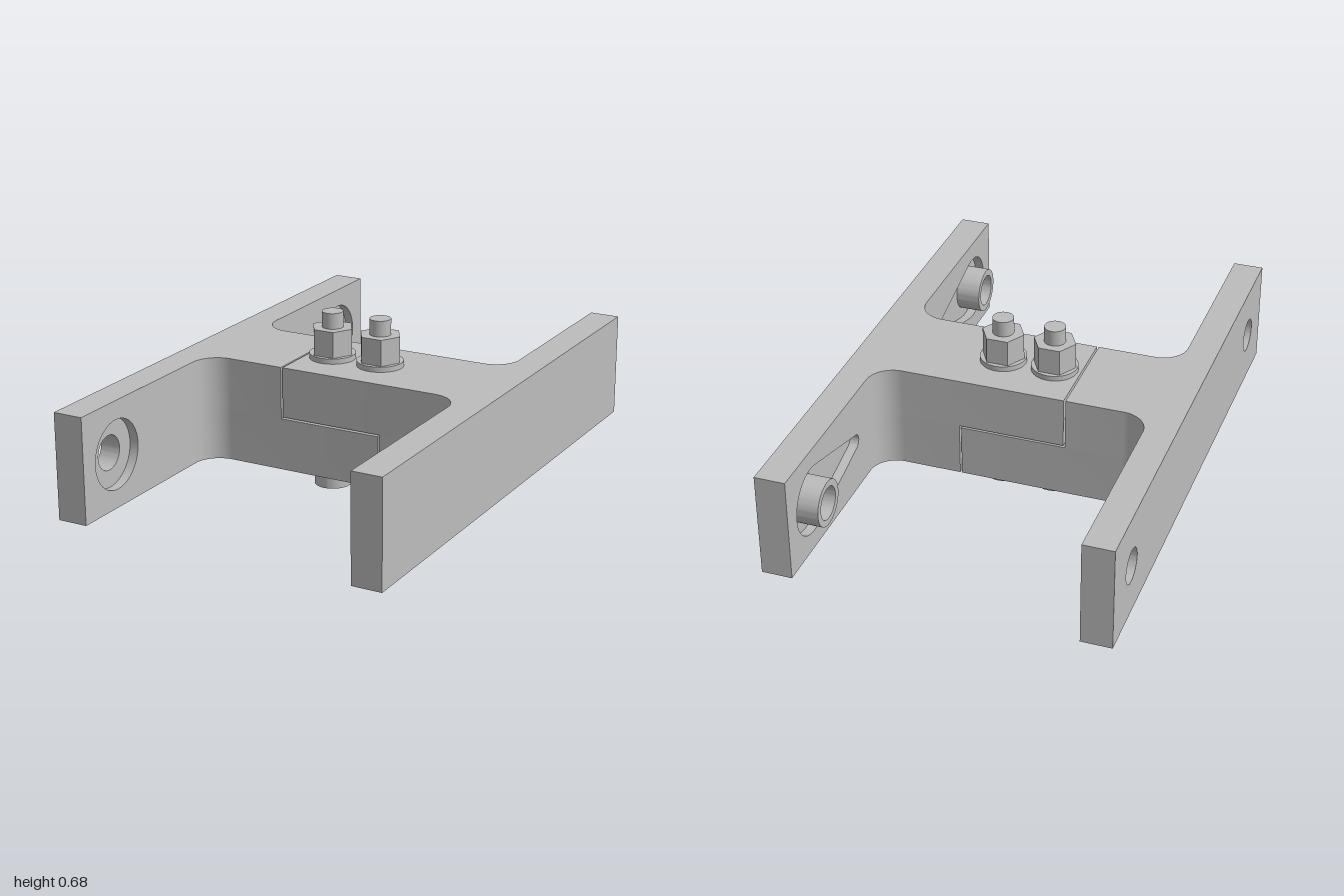
import * as THREE from 'three';
import { toCreasedNormals } from 'three/addons/utils/BufferGeometryUtils.js';

const steel = new THREE.MeshStandardMaterial({ color: 0xbcbcbc });
steel.name = 'steel grey';

const HALF_WIDTH = 0.64, INNER = 0.525, POCKET = 0.035, FILLET = 0.1;
const BOTTOM = 0.1, MIDDLE = 0.3, TOP = 0.5, GAP = 0.007, BOLT_Z = 0.8;

function add(parent, name, geometry, x = 0, y = 0, z = 0) {
  const mesh = new THREE.Mesh(geometry, steel);
  mesh.name = name;
  mesh.position.set(x, y, z);
  parent.add(mesh);
  return mesh;
}

function extrude(shape, depth) {
  const g = new THREE.ExtrudeGeometry(shape, { depth, bevelEnabled: false, curveSegments: 32 });
  return toCreasedNormals(g, 0.6);
}

const circle = (x, y, r) => new THREE.Path().absarc(x, y, r, 0, Math.PI * 2, false);

// Rounded pocket that tapers towards the middle of the plate
function teardrop(side) {
  const R = 0.13, r = 0.03, length = 0.38, pts = [];
  const tangent = Math.acos((R - r) / length);
  const arc = (cx, rad, from, to) => {
    for (let i = 0; i <= 24; i++) {
      const a = from + (to - from) * i / 24;
      pts.push(new THREE.Vector2(side * (cx - rad * Math.cos(a)), MIDDLE + rad * Math.sin(a)));
    }
  };
  arc(BOLT_Z, R, tangent, Math.PI * 2 - tangent);
  arc(BOLT_Z - length, r, -tangent, tangent);
  return new THREE.Path().setFromPoints(pts);
}

// One slice of a side plate, cut in the z-y plane and extruded along +x
function plateSlice(holes, x, thickness, parent, name) {
  const s = new THREE.Shape();
  s.moveTo(-1, BOTTOM);
  s.lineTo(1, BOTTOM);
  s.lineTo(1, TOP);
  s.lineTo(-1, TOP);
  s.closePath();
  s.holes.push(...holes);
  add(parent, name, extrude(s, thickness).rotateY(Math.PI / 2), x);
}

// One level of the cross web, with filleted roots at its side plate
function webLevel(side, xEnd, y0, y1, parent, name) {
  const cx = side * (INNER - FILLET), pts = [], n = 16;
  for (let i = 0; i <= n; i++) {
    const a = Math.PI / 2 * i / n;
    pts.push(new THREE.Vector2(cx + side * FILLET * Math.cos(a), -0.3 + FILLET * Math.sin(a)));
  }
  pts.push(new THREE.Vector2(xEnd, -0.2), new THREE.Vector2(xEnd, 0.2));
  for (let i = n; i >= 0; i--) {
    const a = Math.PI / 2 * i / n;
    pts.push(new THREE.Vector2(cx + side * FILLET * Math.cos(a), 0.3 - FILLET * Math.sin(a)));
  }
  add(parent, name, extrude(new THREE.Shape(pts), y1 - y0).rotateX(-Math.PI / 2), 0, y0);
}

// Hexagon with corners on the x axis
function hexagon(r) {
  const pts = [];
  for (let i = 0; i < 6; i++) {
    pts.push(new THREE.Vector2(r * Math.cos(i * Math.PI / 3), r * Math.sin(i * Math.PI / 3)));
  }
  return pts;
}

function clampBolt(x) {
  const bolt = new THREE.Group();
  bolt.name = 'clampBolt';
  bolt.position.x = x;
  const cyl = (name, r, y0, y1) =>
    add(bolt, name, new THREE.CylinderGeometry(r, r, y1 - y0, 40), 0, (y0 + y1) / 2);
  cyl('shank', 0.04, 0.05, 0.68);
  cyl('lowerWasher', 0.0875, 0.08, BOTTOM);
  cyl('upperWasher', 0.0875, TOP, 0.52);
  // Nut
  add(bolt, 'nut', extrude(new THREE.Shape(hexagon(0.081)), 0.1).rotateX(-Math.PI / 2), 0, 0.52);
  // Socket head, open at the bottom
  const head = new THREE.Shape().absarc(0, 0, 0.07, 0, Math.PI * 2, false);
  head.holes.push(new THREE.Path().setFromPoints(hexagon(0.038)));
  add(bolt, 'socketHead', extrude(head, 0.045).rotateX(-Math.PI / 2));
  cyl('headCore', 0.07, 0.045, 0.08);
  return bolt;
}

export function createModel() {
  const model = new THREE.Group();
  model.name = 'clampBracket';

  // Half with the lower tongue and counterbored through holes
  const rightHalf = new THREE.Group();
  rightHalf.name = 'lowerTongueHalf';
  const ends = [-1, 1];
  plateSlice(ends.map(s => circle(s * BOLT_Z, MIDDLE, 0.065)),
    -HALF_WIDTH, HALF_WIDTH - INNER - POCKET, rightHalf, 'plateOuterLayer');
  plateSlice(ends.map(s => circle(s * BOLT_Z, MIDDLE, 0.13)),
    -INNER - POCKET, POCKET, rightHalf, 'plateCounterboreLayer');
  webLevel(-1, 0.196, BOTTOM, MIDDLE, rightHalf, 'lowerTongue');
  webLevel(-1, -0.2 - GAP, MIDDLE, TOP, rightHalf, 'upperShoulder');

  // Half with the upper tongue, teardrop pockets and hollow bosses
  const leftHalf = new THREE.Group();
  leftHalf.name = 'upperTongueHalf';
  plateSlice([], INNER + POCKET, HALF_WIDTH - INNER - POCKET, leftHalf, 'plateOuterLayer');
  plateSlice(ends.map(teardrop), INNER, POCKET, leftHalf, 'platePocketLayer');
  webLevel(1, -0.2, MIDDLE + GAP, TOP, leftHalf, 'upperTongue');
  webLevel(1, 0.196 + GAP, BOTTOM, MIDDLE + GAP, leftHalf, 'lowerShoulder');
  for (const s of ends) {
    const ring = new THREE.Shape().absarc(0, 0, 0.0875, 0, Math.PI * 2, false);
    ring.holes.push(circle(0, 0, 0.062));
    add(leftHalf, 'boss', extrude(ring, 0.06 + POCKET).rotateY(Math.PI / 2),
      INNER - 0.06, MIDDLE, s * BOLT_Z);
  }

  model.add(rightHalf, leftHalf, clampBolt(-0.1), clampBolt(0.1));
  return model;
}
